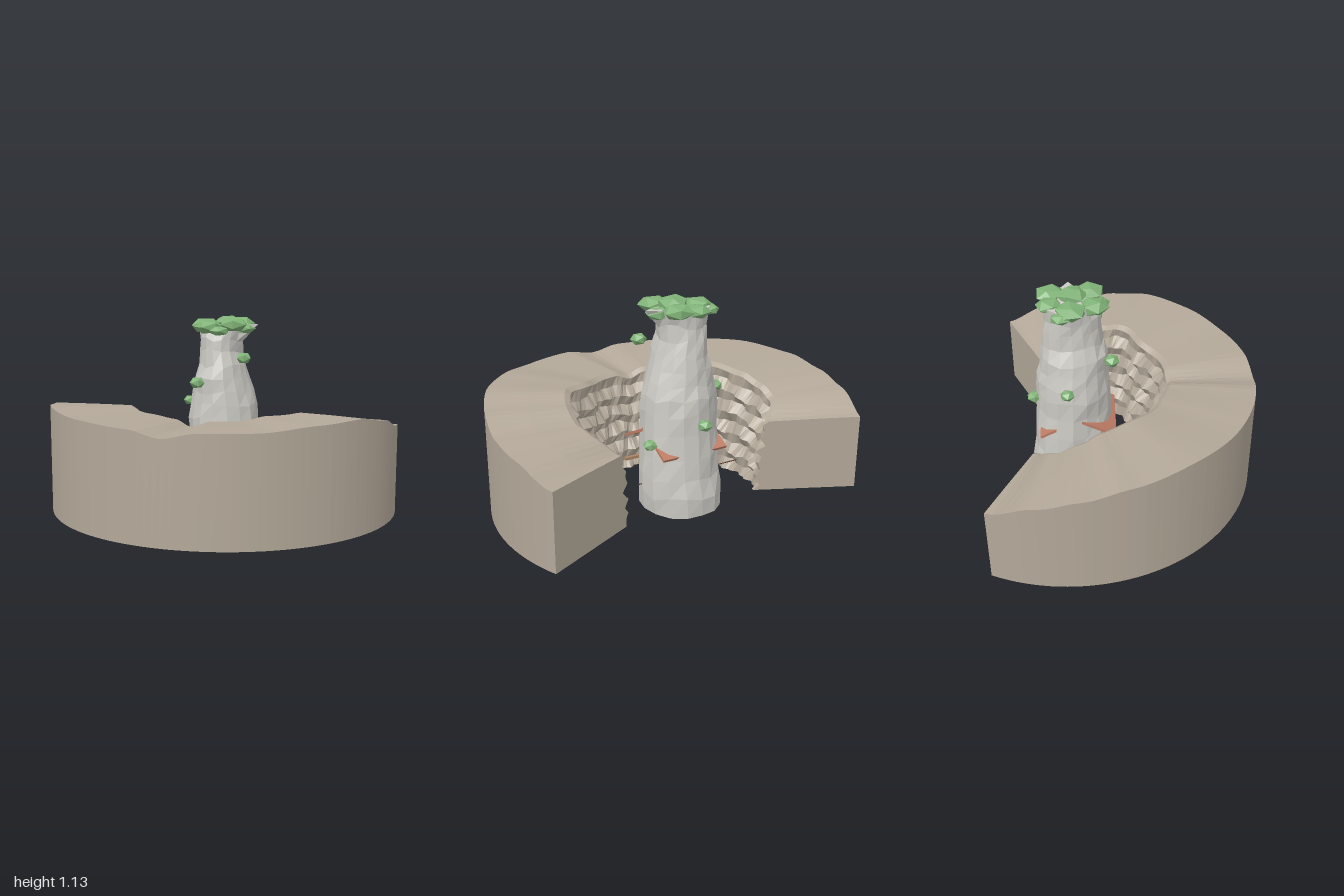
import * as THREE from 'three';

const CZ = -0.29; // shared centre of the cliff ring and the tower
const mat = (color) => new THREE.MeshStandardMaterial({ color, flatShading: true, side: THREE.DoubleSide });
const rock = mat(0xb3a899), stone = mat(0xcccac4), leaf = mat(0x80b277),
  clay = mat(0xbf7d66), wood = mat(0xa98465), darkWood = mat(0x5e4030), glass = mat(0x5fb0cc);

// small seeded random
let seed = 7;
const rand = () => (seed = (seed * 16807) % 2147483647) / 2147483647;

// smooth interpolation in a list of [key, value]
function sample(table, t) {
  let k = 0;
  while (k < table.length - 2 && t > table[k + 1][0]) k++;
  const [a, va] = table[k], [b, vb] = table[k + 1];
  return va + (vb - va) * THREE.MathUtils.smoothstep(t, a, b);
}

// surface through a list of columns, each a list of points
function skin(columns) {
  const n = columns[0].length, pos = columns.flat(2), index = [];
  for (let i = 0; i < columns.length - 1; i++) {
    for (let j = 0; j < n - 1; j++) {
      const a = i * n + j, b = a + n;
      index.push(a, b, b + 1, a, b + 1, a + 1);
    }
  }
  const geo = new THREE.BufferGeometry();
  geo.setAttribute('position', new THREE.Float32BufferAttribute(pos, 3));
  geo.setIndex(index);
  geo.computeVertexNormals();
  return geo;
}

function add(parent, name, geo, material, x = 0, y = 0, z = 0) {
  const mesh = new THREE.Mesh(geo, material);
  mesh.name = name;
  mesh.position.set(x, y, z);
  parent.add(mesh);
  return mesh;
}

// rim height and gorge radius by angle from the front, in degrees
const rimHeight = [[-115, 0.445], [-100, 0.53], [-88, 0.575], [-75, 0.615], [-55, 0.638], [-30, 0.62], [-10, 0.607],
  [0, 0.572], [11, 0.605], [27, 0.605], [45, 0.627], [61, 0.637], [75, 0.605], [88, 0.545], [100, 0.52], [115, 0.445]];
const gorgeTop = [[-115, 0.47], [-100, 0.55], [-68, 0.51], [-42, 0.52], [-20, 0.5], [0, 0.515], [22, 0.52],
  [40, 0.5], [58, 0.56], [75, 0.56], [100, 0.52], [115, 0.47]];
const gorgeBase = [[-115, 0.44], [-90, 0.44], [-65, 0.44], [-41, 0.45], [-20, 0.43], [0, 0.43], [27, 0.45],
  [40, 0.44], [56, 0.49], [70, 0.49], [90, 0.45], [115, 0.45]];

// cross-section of the cliff as [radius, height]: outer wall, top, stepped inner wall
function cliffProfile(deg) {
  const h = sample(rimHeight, deg), top = sample(gorgeTop, deg), base = sample(gorgeBase, deg);
  const pts = [[1, 0.03], [1, h], [0.78, h - 0.003], [top + 0.03, h - 0.01], [top, h - 0.03]];
  const layers = 10;
  for (let k = 1; k <= layers; k++) {
    const t = k / layers;
    const ledge = (k % 2 ? 0.016 : -0.014) * (k < layers ? 1 : 0);
    const rough = 0.01 * Math.sin(deg * 0.31 + k * 2.1) + 0.007 * Math.sin(deg * 0.73 - k * 1.3);
    const y = (h - 0.03) * (1 - t) + 0.03 * t + (k < layers ? 0.008 * Math.sin(deg * 0.2 + k) : 0);
    pts.push([top + (base - top) * t + ledge + rough, y]);
  }
  return pts;
}

function buildCliff() {
  const group = new THREE.Group();
  group.name = 'cliffRing';
  const columns = [], steps = 92;
  for (let i = 0; i <= steps; i++) {
    const deg = -115 + (230 * i) / steps, a = THREE.MathUtils.degToRad(deg);
    columns.push(cliffProfile(deg).map(([r, y]) => [r * Math.sin(a), y, r * Math.cos(a)]));
  }
  add(group, 'cliffWall', skin(columns), rock);
  for (const deg of [-115, 115]) {
    const shape = new THREE.Shape(cliffProfile(deg).map(([r, y]) => new THREE.Vector2(r, y)));
    const end = add(group, 'cliffEnd', new THREE.ShapeGeometry(shape), rock);
    end.rotation.y = THREE.MathUtils.degToRad(deg - 90);
  }
  group.position.z = CZ;
  return group;
}

// tower rings: height, centre x, centre z, half width, half depth
const towerRings = [
  [0, -0.015, -0.305, 0.22, 0.235], [0.1, -0.01, -0.305, 0.225, 0.232], [0.2, 0, -0.3, 0.215, 0.225],
  [0.32, 0, -0.3, 0.21, 0.215], [0.44, 0, -0.295, 0.205, 0.205], [0.55, 0, -0.295, 0.205, 0.2],
  [0.63, 0, -0.295, 0.195, 0.197], [0.7, -0.005, -0.29, 0.177, 0.19], [0.77, -0.01, -0.285, 0.16, 0.182],
  [0.85, -0.005, -0.285, 0.138, 0.168], [0.93, -0.015, -0.29, 0.12, 0.157], [1.0, -0.015, -0.29, 0.12, 0.15],
  [1.085, -0.01, -0.305, 0.14, 0.138]];

function buildTower() {
  const group = new THREE.Group();
  group.name = 'rockTower';
  const sides = 16, columns = [], last = towerRings.length - 1;
  for (let i = 0; i < sides; i++) {
    const a = (i / sides) * Math.PI * 2;
    columns.push(towerRings.map(([y, cx, cz, rx, rz], j) => {
      const k = 1 + (rand() - 0.5) * 0.07 + 0.02 * Math.sin(3 * a + 1);
      const inner = j > 0 && j < last;
      const p = [cx + rx * k * Math.sin(a), y + (inner ? (rand() - 0.5) * 0.03 : 0), cz + rz * k * Math.cos(a)];
      // jutting lip on the left of the summit
      if (i === 4 && j >= last - 1) p[0] += j === last ? 0.07 : 0.01;
      return p;
    }));
  }
  columns.push(columns[0]);
  add(group, 'towerWall', skin(columns), stone);
  const summit = columns.map((c) => [c[last], [-0.01, 1.085, -0.3]]);
  add(group, 'towerSummit', skin(summit), stone);
  return group;
}

// leaf clumps: x, y, z, radius
const clumps = [
  [0.03, 1.095, -0.28, 0.085], [-0.11, 1.075, -0.29, 0.09], [0.07, 1.085, -0.4, 0.085], [0.09, 1.085, -0.19, 0.085],
  [-0.05, 1.07, -0.17, 0.085], [-0.04, 1.075, -0.4, 0.075], [0.12, 1.06, -0.29, 0.07], [0.02, 1.05, -0.14, 0.06],
  [-0.15, 1.06, -0.34, 0.06],
  [0.16, 0.9, -0.16, 0.045], [-0.09, 0.76, -0.08, 0.045], [-0.22, 0.63, -0.32, 0.04],
  [0.21, 0.39, -0.37, 0.04], [-0.03, 0.5, -0.51, 0.042]];

function buildFoliage() {
  const group = new THREE.Group();
  group.name = 'foliage';
  for (const [x, y, z, r] of clumps) {
    const clump = add(group, 'leafClump', new THREE.IcosahedronGeometry(r, 0), leaf, x, y, z);
    clump.scale.y = r > 0.05 ? 0.5 : 0.75;
    clump.rotation.y = rand() * 6;
  }
  return group;
}

// small dwelling built inside the hollow tower
function buildDwelling() {
  const group = new THREE.Group();
  group.name = 'dwelling';
  const slope = 0.22, drop = 0.11;
  for (const s of [-1, 1]) {
    const roof = add(group, 'roofSlope', new THREE.BoxGeometry(0.385, 0.015, Math.hypot(slope, drop)), clay,
      0, 0.39, -0.27 + (s * slope) / 2 * 0.88);
    roof.rotation.x = s * Math.atan2(drop, slope);
    add(group, 'window', new THREE.BoxGeometry(0.05, 0.05, 0.01), glass, s * 0.1, 0.23, -0.135);
    for (let k = 0; k < 3; k++) {
      add(group, 'railPost', new THREE.CylinderGeometry(0.004, 0.004, 0.1, 6), darkWood, s * (0.06 + k * 0.03), 0.12, -0.13);
    }
    add(group, 'handRail', new THREE.BoxGeometry(0.09, 0.01, 0.01), darkWood, s * 0.09, 0.17, -0.13);
  }
  add(group, 'floorBeam', new THREE.BoxGeometry(0.26, 0.015, 0.02), clay, 0, 0.195, -0.14);
  add(group, 'door', new THREE.BoxGeometry(0.07, 0.13, 0.02), darkWood, 0, 0.1, -0.075);
  for (let k = 0; k < 3; k++) {
    add(group, 'doorStep', new THREE.BoxGeometry(0.085, 0.012, 0.025), wood, 0, 0.09 - k * 0.025, -0.08 + k * 0.018);
  }
  add(group, 'sideLedge', new THREE.BoxGeometry(0.12, 0.015, 0.02), wood, 0.165, 0.22, -0.12);
  const rod = add(group, 'crossRod', new THREE.CylinderGeometry(0.003, 0.003, 0.64, 6), darkWood, -0.08, 0.14, CZ);
  rod.rotation.z = Math.PI / 2;
  return group;
}

export function createModel() {
  const model = new THREE.Group();
  model.name = 'towerInGorge';
  model.add(buildCliff(), buildTower(), buildFoliage(), buildDwelling());
  return model;
}
